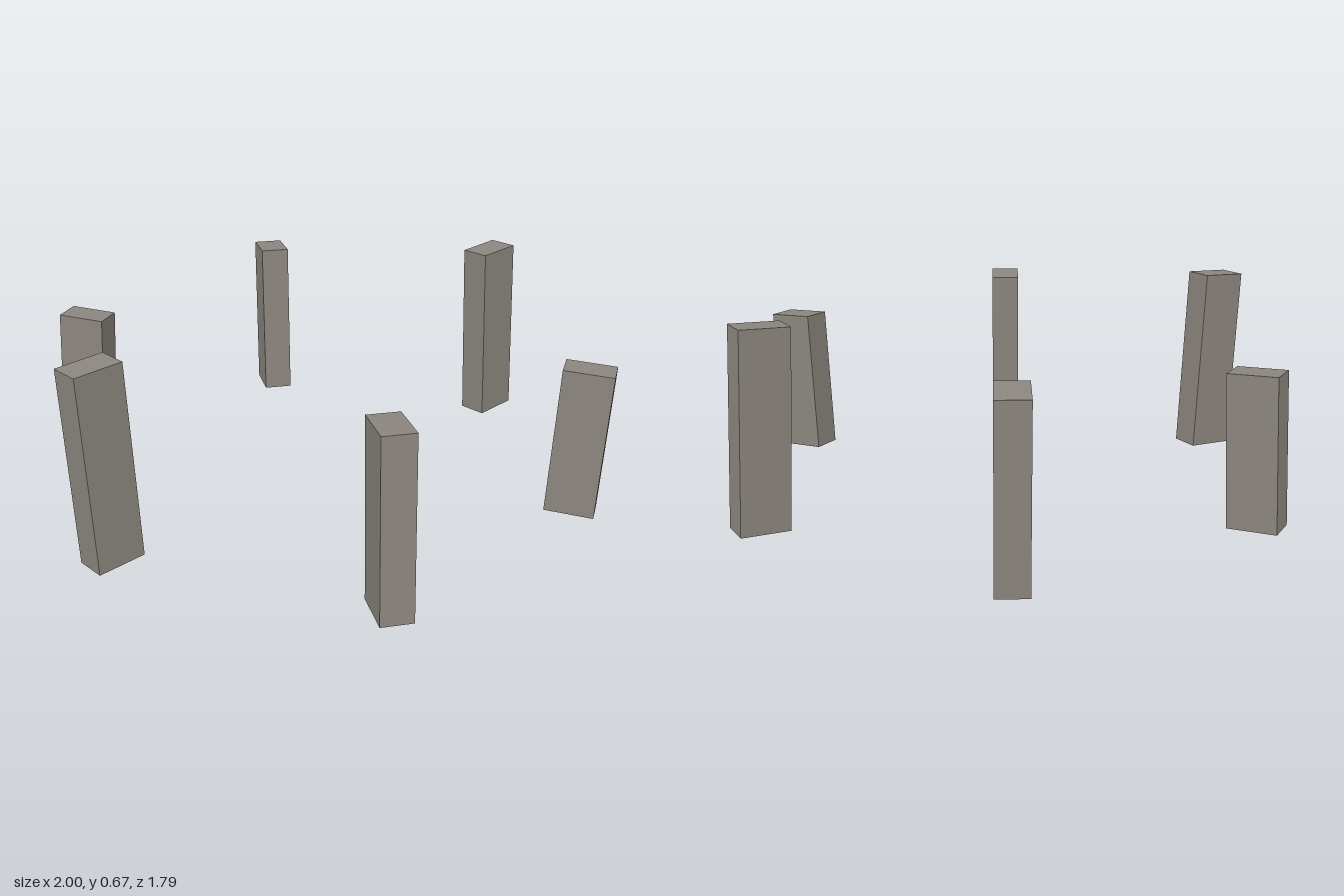
import * as THREE from 'three';

export function createModel() {
  const model = new THREE.Group();
  model.name = 'stoneCircle';

  const stone = new THREE.MeshStandardMaterial({ color: 0x8b867e });
  stone.name = 'weathered grey stone';

  const ringRadius = 0.903;
  const lean = 0.05;
  const heights = [0.512, 0.588, 0.664];

  // Six standing stones, leaning outward and inward in turn
  for (let i = 0; i < 6; i++) {
    const angle = (i * Math.PI) / 3;
    const height = heights[i % 3];

    const pivot = new THREE.Group();
    pivot.name = `standingStone${i + 1}`;
    pivot.rotation.y = -angle;

    const slab = new THREE.Mesh(new THREE.BoxGeometry(0.167, height, 0.105), stone);
    slab.name = 'stoneSlab';
    slab.position.set(ringRadius, height / 2 + 0.004, 0);
    slab.rotation.z = i % 2 === 0 ? -lean : lean;

    pivot.add(slab);
    model.add(pivot);
  }

  return model;
}
